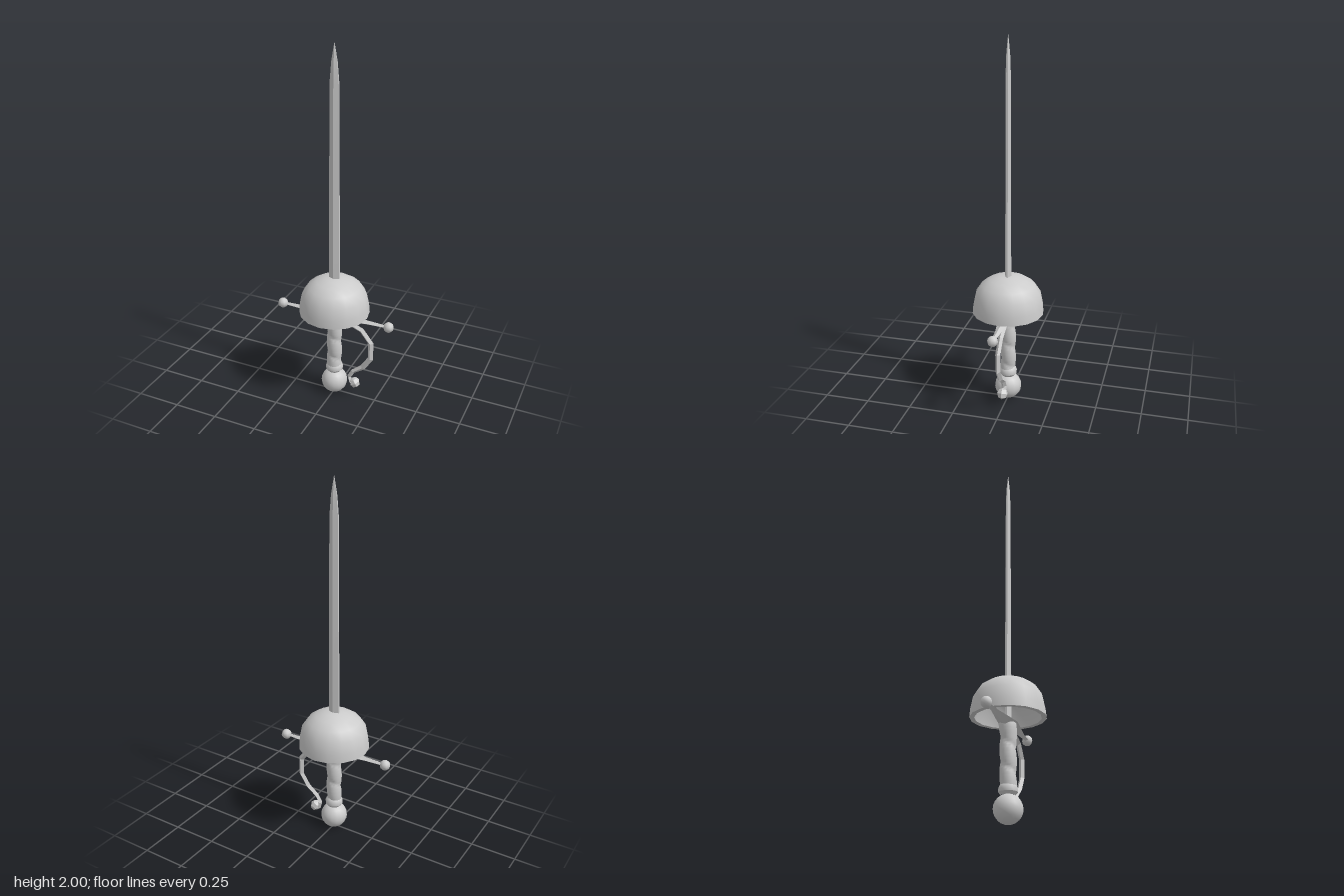
import * as THREE from 'three';
import { toCreasedNormals } from 'three/addons/utils/BufferGeometryUtils.js';

const material = new THREE.MeshStandardMaterial({ color: 0xcccccc });

function part(group, name, geometry, x = 0, y = 0, z = 0) {
  const mesh = new THREE.Mesh(geometry, material);
  mesh.name = name;
  mesh.position.set(x, y, z);
  group.add(mesh);
  return mesh;
}

// Skin a list of equal-sized rings (counter-clockwise seen from the end), capped at both ends
function loft(rings, crease = 0.35) {
  const n = rings[0].length;
  const index = [];
  for (let r = 0; r < rings.length - 1; r++) {
    for (let i = 0; i < n; i++) {
      const a = r * n + i, b = r * n + (i + 1) % n;
      index.push(a, b, b + n, a, b + n, a + n);
    }
  }
  const last = (rings.length - 1) * n;
  for (let i = 1; i < n - 1; i++) {
    index.push(0, i + 1, i, last, last + i, last + i + 1);
  }
  const geometry = new THREE.BufferGeometry();
  geometry.setAttribute('position', new THREE.Float32BufferAttribute(rings.flat(2), 3));
  geometry.setIndex(index);
  return toCreasedNormals(geometry, crease);
}

const lathe = (points, segments, crease) => toCreasedNormals(
  new THREE.LatheGeometry(points.map(([r, y]) => new THREE.Vector2(r, y)), segments), crease);

// Six-sided blade: ridge front and back, narrow blunt edges
function bladeGeometry() {
  const sections = [[0.5, 0.03, 0.017], [0.74, 0.03, 0.017], [1.8, 0.025, 0.014],
    [1.91, 0.016, 0.01], [2.0, 0.001, 0.001]];
  return loft(sections.map(([y, w, t]) => {
    const e = t * 0.3;
    return [[0, y, t], [w, y, e], [w, y, -e], [0, y, -t], [-w, y, -e], [-w, y, e]];
  }));
}

// Diamond-section bar, broad in the middle and slim at the ends
function crossbarGeometry() {
  const sections = [[-0.3, 0.009, 0.011], [-0.2, 0.013, 0.018], [-0.08, 0.019, 0.038], [0, 0.02, 0.05],
    [0.08, 0.019, 0.038], [0.2, 0.013, 0.018], [0.3, 0.009, 0.011]];
  return loft(sections.map(([x, h, d]) => {
    const y = 0.505;
    return [[x, y + h, 0], [x, y, d], [x, y - h, 0], [x, y, -d]];
  }), 0.25);
}

// Diamond section swept along the bent path of the knuckle bow
function bowGeometry() {
  const path = [[0.03, 0.492], [0.09, 0.475], [0.165, 0.445], [0.22, 0.375], [0.22, 0.275],
    [0.175, 0.205], [0.115, 0.16], [0.093, 0.12], [0.103, 0.085], [0.122, 0.08]]
    .map(([x, y]) => new THREE.Vector3(x, y, 0));
  const zAxis = new THREE.Vector3(0, 0, 1);
  return loft(path.map((p, i) => {
    const before = path[Math.max(i - 1, 0)], after = path[Math.min(i + 1, path.length - 1)];
    const tangent = after.clone().sub(before).normalize();
    const u = zAxis.clone().cross(tangent).multiplyScalar(i < 6 ? 0.016 : 0.012);
    const a = p.clone().add(u), b = p.clone().sub(u);
    return [a.toArray(), [p.x, p.y, 0.014], b.toArray(), [p.x, p.y, -0.014]];
  }), 0.2);
}

// Round grip pressed in along a helical groove
function gripGeometry() {
  const bottom = 0.17, top = 0.5, pitch = 0.125;
  const geometry = new THREE.CylinderGeometry(1, 1, top - bottom, 24, 44);
  geometry.translate(0, (top + bottom) / 2, 0);
  const pos = geometry.attributes.position;
  for (let i = 0; i < pos.count; i++) {
    const x = pos.getX(i), y = pos.getY(i), z = pos.getZ(i);
    const phase = y / pitch + Math.atan2(x, z) / (2 * Math.PI);
    const wrap = Math.sqrt(Math.abs(Math.sin(Math.PI * phase)));
    const flare = 0.004 * THREE.MathUtils.smoothstep(y, 0.42, 0.5);
    const r = 0.034 + 0.009 * wrap + flare;
    pos.setXYZ(i, x * r, y, z * r);
  }
  return toCreasedNormals(geometry, 0.9);
}

export function createModel() {
  const sword = new THREE.Group();
  sword.name = 'sword';

  part(sword, 'blade', bladeGeometry());

  // Hollow bowl: inside from the crown down, around the rim, then up the outside
  part(sword, 'cupGuard', lathe([
    [0, 0.715], [0.07, 0.705], [0.125, 0.67], [0.155, 0.615], [0.17, 0.53],
    [0.195, 0.53], [0.191, 0.575], [0.178, 0.64], [0.145, 0.69], [0.1, 0.72], [0.05, 0.737], [0, 0.741],
  ], 16, 0.75));

  part(sword, 'crossbar', crossbarGeometry());
  for (const side of [-1, 1]) {
    part(sword, side > 0 ? 'leftFinial' : 'rightFinial',
      new THREE.SphereGeometry(0.029, 8, 6), side * 0.32, 0.505, 0);
  }

  part(sword, 'grip', gripGeometry());
  part(sword, 'gripCollar', lathe([
    [0.036, 0.14], [0.048, 0.155], [0.049, 0.17], [0.042, 0.188], [0.034, 0.195],
  ], 16, 0.6));
  part(sword, 'pommel', new THREE.SphereGeometry(0.074, 16, 12), 0, 0.074, 0);

  // Guard for the fingers, ending in a small curled knob
  part(sword, 'knuckleBow', bowGeometry());
  const knob = part(sword, 'bowKnob',
    toCreasedNormals(new THREE.SphereGeometry(0.031, 6, 4), 0.6), 0.127, 0.088, 0);
  knob.rotation.z = 0.5;

  return sword;
}
